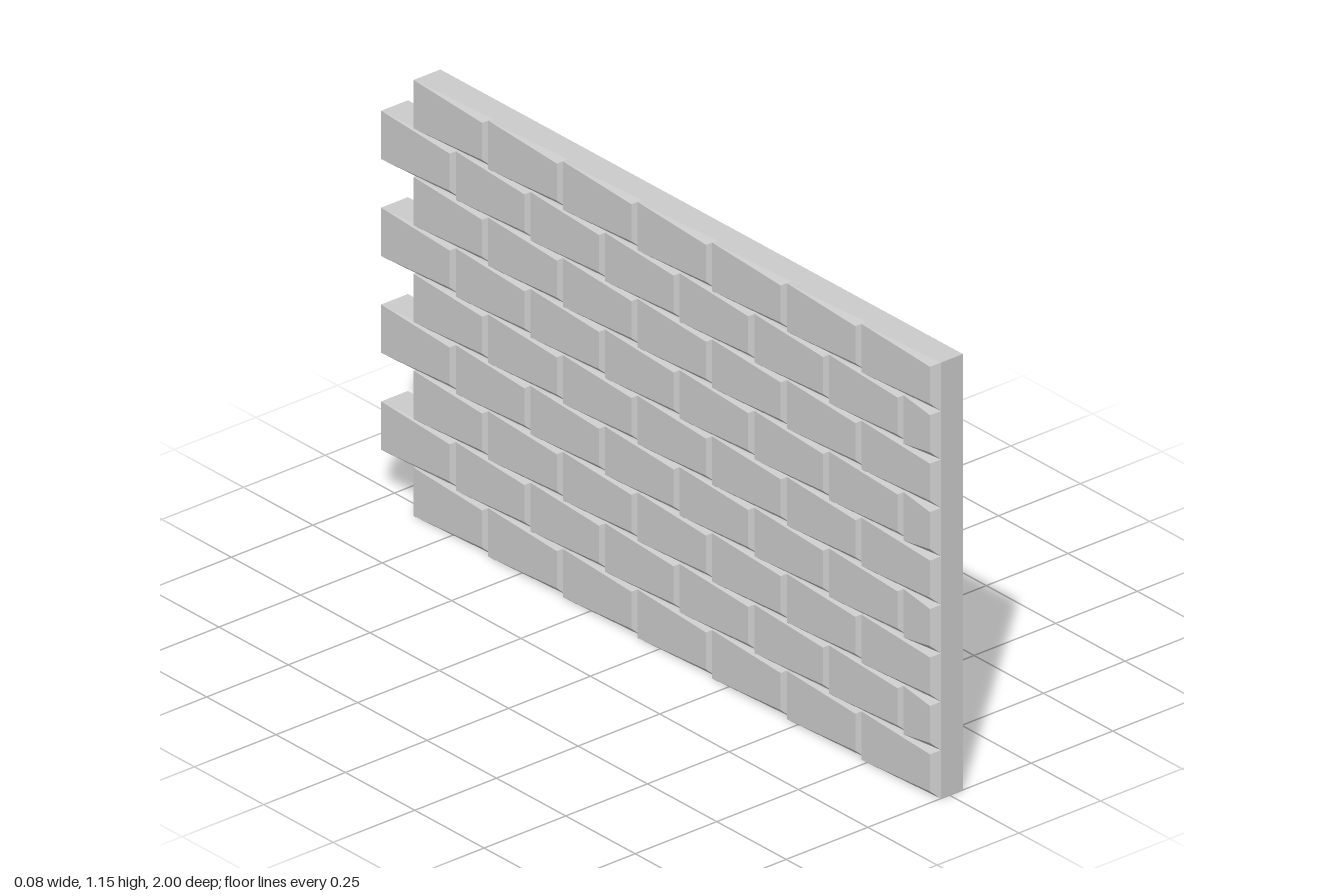
import * as THREE from 'three';
import { ConvexGeometry } from 'three/addons/geometries/ConvexGeometry.js';

const ROWS = 9, ROW_H = 0.1275, PITCH = 0.269;
const BACK = 0.041, GROOVE = -0.026, FACE = -0.041;
const CHAMFER = 0.015, END_CHAMFER = 0.022;

// One brick: flush at its -z end, chamfers widening toward its +z end
function brickGeometry(y0, y1, z0, z1) {
  const points = [];
  for (const x of [BACK, GROOVE])
    for (const y of [y0, y1])
      for (const z of [z0, z1]) points.push(new THREE.Vector3(x, y, z));
  points.push(
    new THREE.Vector3(FACE, y0, z0),
    new THREE.Vector3(FACE, y1, z0),
    new THREE.Vector3(FACE, y0 + CHAMFER, z1 - END_CHAMFER),
    new THREE.Vector3(FACE, y1 - CHAMFER, z1 - END_CHAMFER),
  );
  return new ConvexGeometry(points);
}

export function createModel() {
  const wall = new THREE.Group();
  wall.name = 'brickWall';
  const material = new THREE.MeshStandardMaterial({ color: 0xcccccc, flatShading: true });

  // Courses laid in running bond: every other one sticks out at the -z end
  for (let r = 0; r < ROWS; r++) {
    const course = new THREE.Group();
    course.name = `course${r + 1}`;
    const start = r % 2 ? -1 : 1 - 7 * PITCH;
    for (let z = start; z < 0.99; z += PITCH) {
      const end = Math.min(z + PITCH, 1);
      const brick = new THREE.Mesh(brickGeometry(r * ROW_H, (r + 1) * ROW_H, z, end), material);
      brick.name = end - z < PITCH * 0.9 ? 'halfBrick' : 'brick';
      course.add(brick);
    }
    wall.add(course);
  }
  return wall;
}
